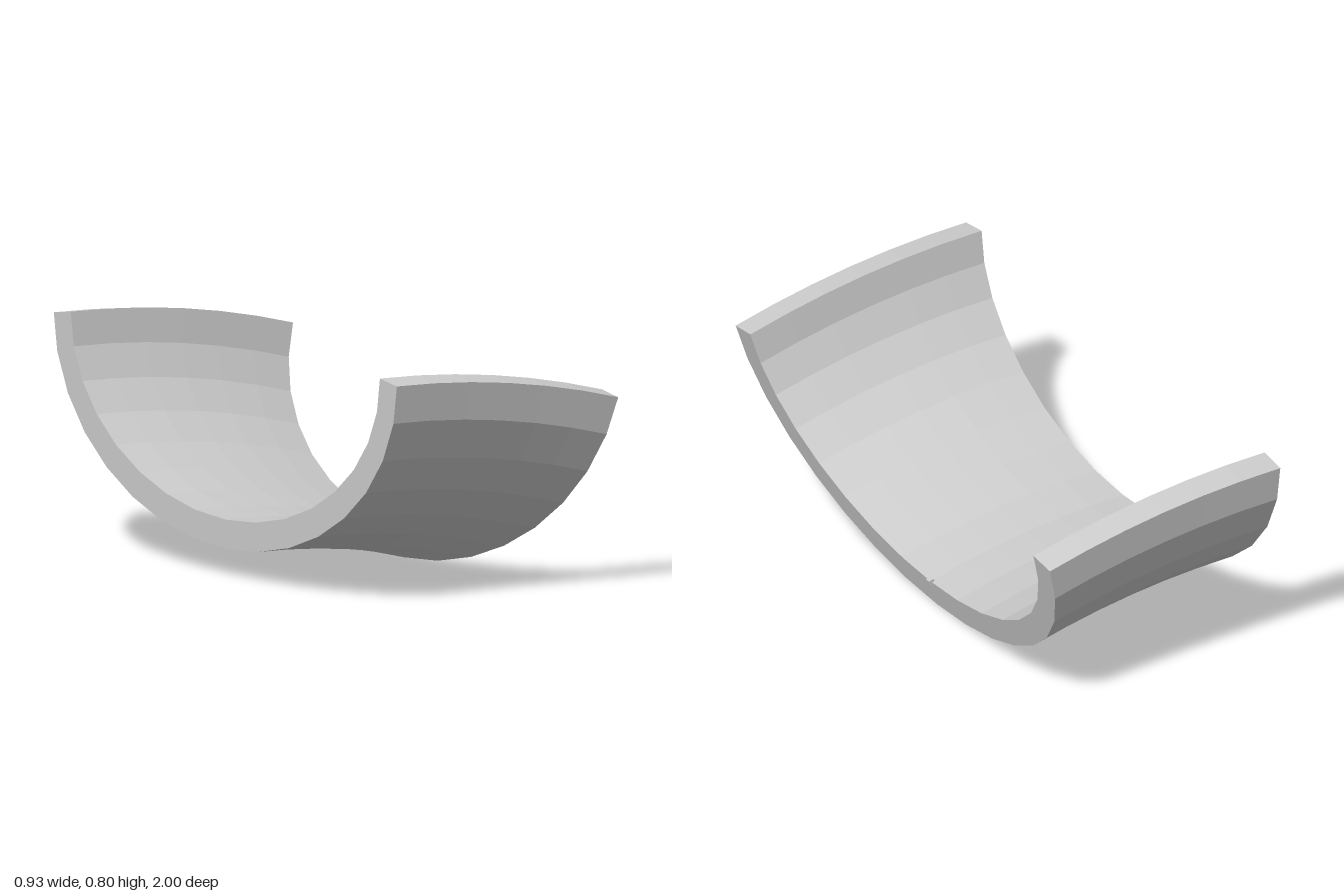
import * as THREE from 'three';

const ARC_SEGS = 16;              // facets around the trough
const BEND_SEGS = 6;              // facets along the bend
const BEND = THREE.MathUtils.degToRad(15);
const X0 = -0.465, TOP = 0.8;     // start face and rim height
const CENTRE_Y = TOP - 3.593;     // centre of the downward bend
const WALL = 0.1;

// Half-ellipse inner curve and its outward offset, as (z, y) points
function profile() {
  const inner = [], outer = [];
  for (let k = 0; k <= ARC_SEGS; k++) {
    const a = -Math.PI / 2 + Math.PI * k / ARC_SEGS;
    inner.push(new THREE.Vector2(0.9 * Math.sin(a), TOP - 0.6 * Math.cos(a)));
  }
  for (let k = 0; k <= ARC_SEGS; k++) {
    const t = inner[Math.min(k + 1, ARC_SEGS)].clone().sub(inner[Math.max(k - 1, 0)]).normalize();
    outer.push(new THREE.Vector2(inner[k].x + t.y * WALL, inner[k].y - t.x * WALL));
  }
  return { inner, outer };
}

// Swing a profile point around the bend centre
function bend(p, angle) {
  const r = p.y - CENTRE_Y;
  return [X0 + r * Math.sin(angle), CENTRE_Y + r * Math.cos(angle), p.x];
}

function troughGeometry() {
  const { inner, outer } = profile();
  const loop = [...inner, ...[...outer].reverse()];
  const pos = [];
  const quad = (a, b, c, d) => pos.push(...a, ...b, ...c, ...a, ...c, ...d);

  // Inner, outer and rim surfaces
  for (let i = 0; i < BEND_SEGS; i++) {
    const a0 = BEND * i / BEND_SEGS, a1 = BEND * (i + 1) / BEND_SEGS;
    loop.forEach((p, j) => {
      const q = loop[(j + 1) % loop.length];
      quad(bend(p, a0), bend(q, a0), bend(q, a1), bend(p, a1));
    });
  }
  // End faces
  for (let k = 0; k < ARC_SEGS; k++) {
    const face = [outer[k + 1], outer[k], inner[k], inner[k + 1]];
    quad(...face.map(p => bend(p, BEND)));
    quad(...face.reverse().map(p => bend(p, 0)));
  }
  const geo = new THREE.BufferGeometry();
  geo.setAttribute('position', new THREE.Float32BufferAttribute(pos, 3));
  geo.computeVertexNormals();
  return geo;
}

export function createModel() {
  const group = new THREE.Group();
  const mat = new THREE.MeshStandardMaterial({ color: 0xcccccc, flatShading: true });

  const trough = new THREE.Mesh(troughGeometry(), mat);
  trough.name = 'curvedTrough';
  group.add(trough);

  // Tiny marker block on the inner bottom edge of the lower end
  const marker = new THREE.Mesh(new THREE.BoxGeometry(0.02, 0.02, 0.02), mat);
  marker.name = 'endMarker';
  marker.position.set(...bend(new THREE.Vector2(0, 0.2), BEND));
  marker.rotation.z = -BEND;
  group.add(marker);

  return group;
}
